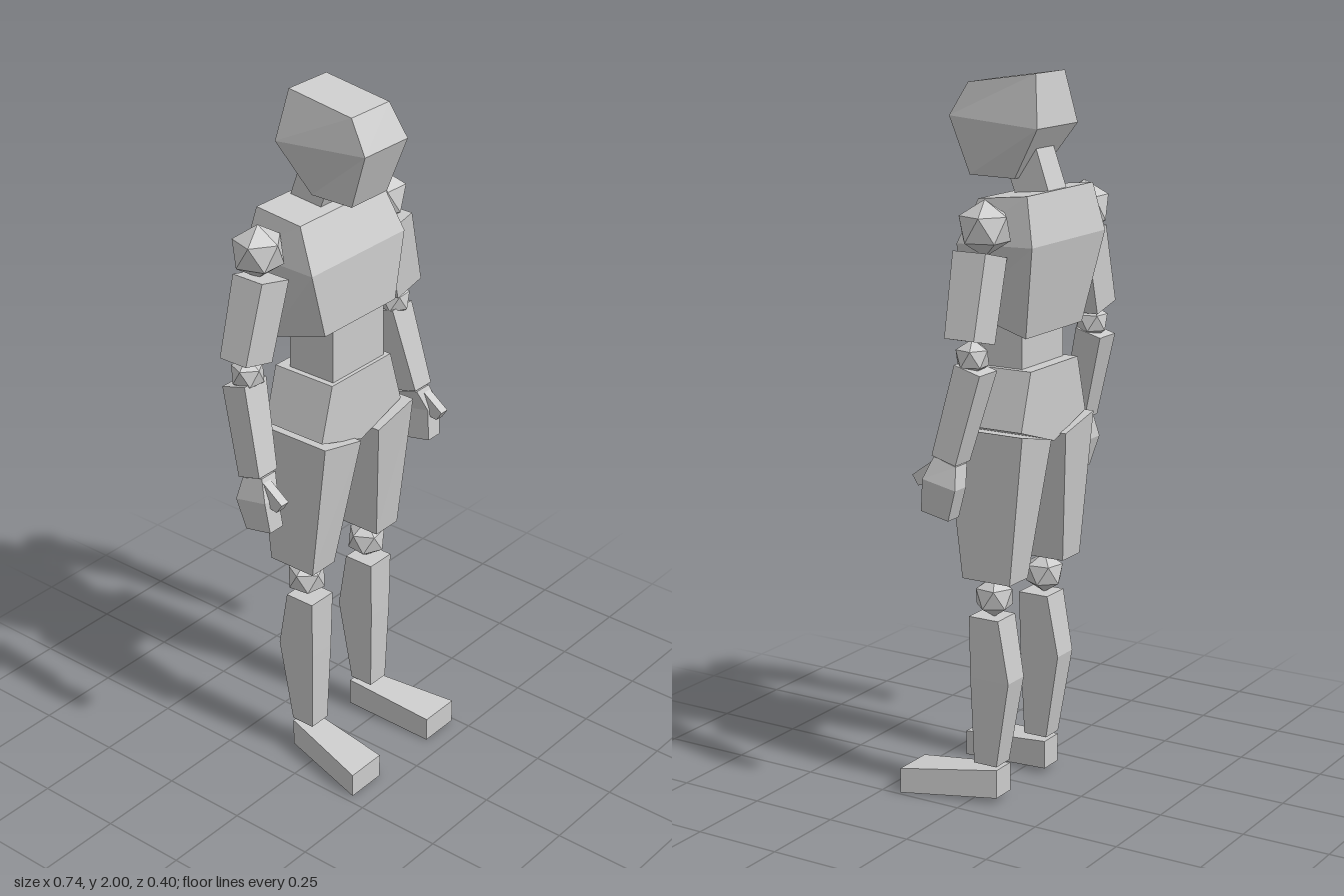
import * as THREE from 'three';

const material = new THREE.MeshStandardMaterial({ color: 0xcccccc, flatShading: true });

// Hull through four-cornered sections, listed bottom to top.
// A section is [frontEdge, backEdge]; an edge is [x0, x1, y, z, rise from x0 to x1].
function loft(name, sections) {
  const pos = [];
  const rings = sections.map(([f, b]) => [
    [f[0], f[2], f[3]], [f[1], f[2] + (f[4] || 0), f[3]],
    [b[1], b[2] + (b[4] || 0), b[3]], [b[0], b[2], b[3]],
  ]);
  const quad = (a, b, c, d) => pos.push(...a, ...b, ...c, ...a, ...c, ...d);
  for (let k = 0; k + 1 < rings.length; k++) {
    const lo = rings[k], hi = rings[k + 1];
    for (let i = 0; i < 4; i++) {
      const j = (i + 1) % 4;
      quad(lo[i], lo[j], hi[j], hi[i]);
    }
  }
  quad(...rings[rings.length - 1]);
  quad(...[...rings[0]].reverse());
  const geo = new THREE.BufferGeometry();
  geo.setAttribute('position', new THREE.Float32BufferAttribute(pos, 3));
  geo.computeVertexNormals();
  const mesh = new THREE.Mesh(geo, material);
  mesh.name = name;
  return mesh;
}

// Faceted ball joint with one corner pointing up
function joint(name, r, x, y, z, yaw = 0) {
  const geo = new THREE.IcosahedronGeometry(r, 0);
  geo.rotateZ(-Math.atan(2 / (1 + Math.sqrt(5)))).rotateY(yaw);
  const mesh = new THREE.Mesh(geo, material);
  mesh.name = name;
  mesh.position.set(x, y, z);
  return mesh;
}

const mirrorEdge = ([x0, x1, y, z, rise = 0]) => [-x1, -x0, y + rise, z, -rise];

// Arm and leg for one side (s = 1 left, -1 right)
function limbs(s) {
  const side = s > 0 ? 'left' : 'right';
  const part = (name, sections) =>
    loft(side + name, s > 0 ? sections : sections.map((sec) => sec.map(mirrorEdge)));

  const arm = new THREE.Group();
  arm.name = side + 'Arm';
  arm.add(
    joint(side + 'Shoulder', 0.075, s * 0.243, 1.615, -0.092, 0.3 * s),
    part('UpperArm', [
      [[0.255, 0.358, 1.315, -0.04, 0.025], [0.255, 0.358, 1.315, -0.13, 0.025]],
      [[0.195, 0.3, 1.535, -0.03, 0.025], [0.195, 0.3, 1.535, -0.13, 0.025]],
    ]),
    joint(side + 'Elbow', 0.049, s * 0.298, 1.285, -0.088, 0.4 * s),
    part('Forearm', [
      [[0.288, 0.36, 1.025, 0.0], [0.288, 0.36, 1.005, -0.073]],
      [[0.257, 0.343, 1.27, -0.06], [0.257, 0.343, 1.248, -0.138]],
    ]),
    part('Hand', [
      [[0.308, 0.36, 0.87, 0.035], [0.308, 0.36, 0.853, -0.05]],
      [[0.315, 0.368, 0.96, 0.025], [0.315, 0.368, 0.94, -0.077]],
      [[0.295, 0.35, 1.02, 0.0], [0.295, 0.35, 1.0, -0.068]],
    ]),
    part('Thumb', [
      [[0.322, 0.35, 0.935, 0.05], [0.322, 0.35, 0.945, 0.0]],
      [[0.322, 0.35, 0.962, 0.068], [0.322, 0.35, 1.01, 0.002]],
    ]),
  );
  arm.position.z = s > 0 ? 0.003 : -0.014;

  const leg = new THREE.Group();
  leg.name = side + 'Leg';
  leg.add(
    part('Thigh', [
      [[0.094, 0.188, 0.645, 0.015], [0.094, 0.188, 0.645, -0.135]],
      [[0.038, 0.19, 1.025, 0.065, 0.035], [0.038, 0.19, 1.025, -0.175, 0.035]],
    ]),
    joint(side + 'Knee', 0.058, s * 0.133, 0.59, -0.053, 0.5 * s),
    part('Shin', [
      [[0.1, 0.168, 0.11, -0.008], [0.1, 0.168, 0.11, -0.08]],
      [[0.092, 0.174, 0.36, 0.0], [0.092, 0.174, 0.36, -0.122]],
      [[0.086, 0.176, 0.535, 0.002], [0.086, 0.176, 0.535, -0.09]],
    ]),
    part('Foot', [
      [[0.11, 0.233, 0.0, 0.195], [0.093, 0.167, 0.018, -0.08]],
      [[0.11, 0.233, 0.072, 0.195], [0.093, 0.167, 0.1, -0.08]],
    ]),
  );
  leg.position.x = 0.007;
  return [arm, leg];
}

export function createModel() {
  const model = new THREE.Group();
  model.name = 'figure';

  model.add(
    loft('head', [
      [[-0.072, 0.072, 1.725, 0.065], [-0.068, 0.068, 1.722, -0.072]],
      [[-0.087, 0.087, 1.88, 0.12], [-0.105, 0.105, 1.86, -0.163]],
      [[-0.076, 0.076, 1.97, 0.067], [-0.075, 0.075, 2.0, -0.14]],
    ]),
    loft('neck', [
      [[-0.046, 0.049, 1.66, -0.07], [-0.046, 0.049, 1.67, -0.172]],
      [[-0.044, 0.046, 1.76, -0.03], [-0.044, 0.046, 1.81, -0.122]],
    ]),
    loft('chest', [
      [[-0.145, 0.15, 1.375, 0.035], [-0.145, 0.15, 1.315, -0.157]],
      [[-0.188, 0.196, 1.56, 0.028], [-0.188, 0.196, 1.565, -0.203]],
      [[-0.168, 0.175, 1.68, -0.027], [-0.168, 0.175, 1.695, -0.175]],
    ]),
    loft('waist', [
      [[-0.107, 0.107, 1.2, 0.03], [-0.107, 0.107, 1.2, -0.12]],
      [[-0.107, 0.107, 1.4, 0.03], [-0.107, 0.107, 1.4, -0.12]],
    ]),
  );

  // Pelvis: five-sided slab with a pointed bottom
  const outline = [[-0.124, 1.222], [-0.168, 1.065], [0, 1.01], [0.172, 1.065], [0.124, 1.222]];
  const pelvisGeo = new THREE.ExtrudeGeometry(
    new THREE.Shape(outline.map(([x, y]) => new THREE.Vector2(x, y))),
    { depth: 0.198, bevelEnabled: false },
  );
  const pelvis = new THREE.Mesh(pelvisGeo, material);
  pelvis.name = 'pelvis';
  pelvis.position.z = -0.157;
  model.add(pelvis);

  for (const s of [1, -1]) model.add(...limbs(s));
  return model;
}
